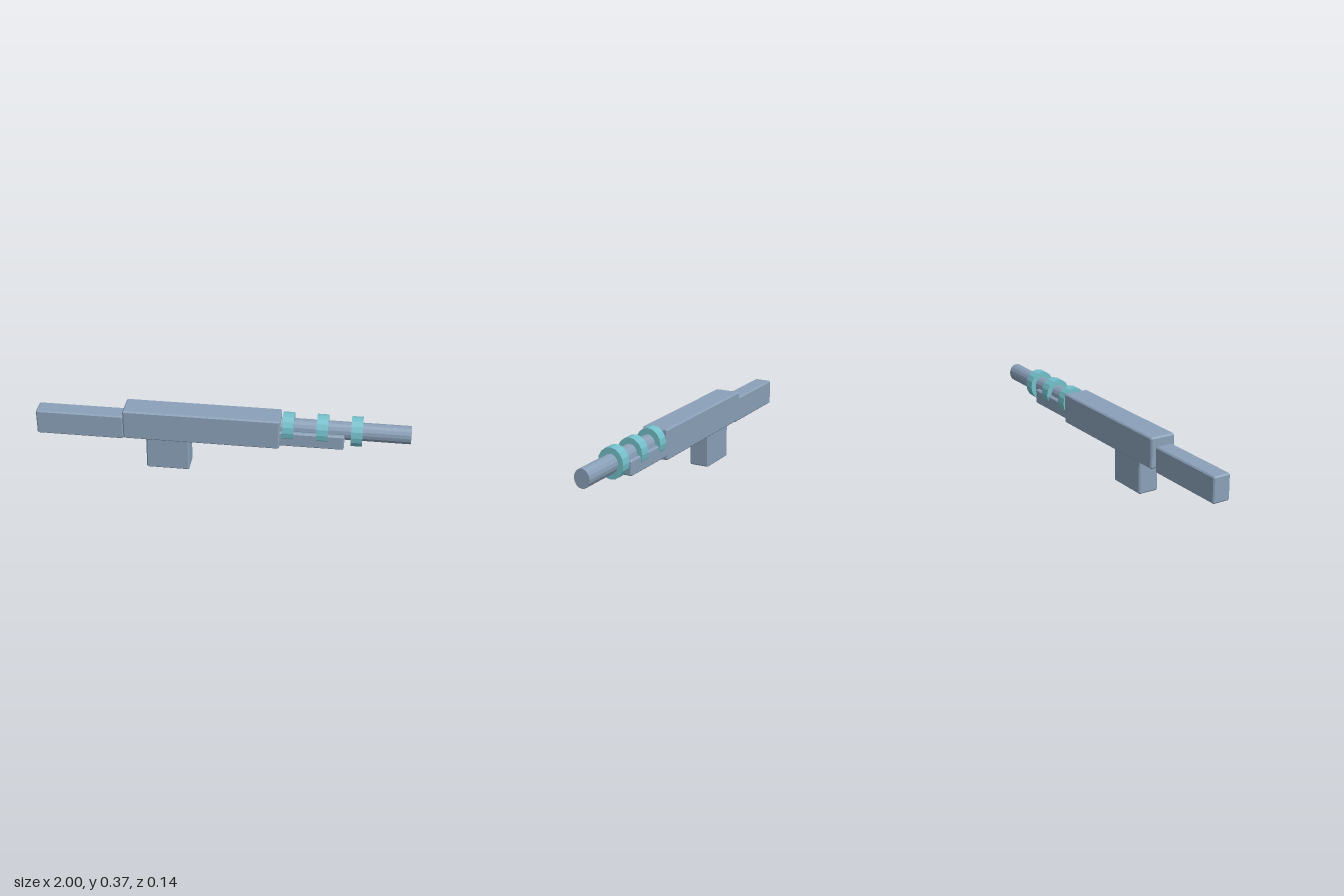
import * as THREE from 'three';
import { ConvexGeometry } from 'three/addons/geometries/ConvexGeometry.js';

const steel = new THREE.MeshStandardMaterial({ name: 'blueGreySteel', color: 0x8aa0b8, flatShading: true });
const teal = new THREE.MeshStandardMaterial({ name: 'tealCoil', color: 0x74bfca, flatShading: true });

// Box with every edge chamfered, spanning x0..x1 and y0..y1, centred on z = 0
function chamferBox(name, x0, x1, y0, y1, halfZ, c = 0.007) {
  const hx = (x1 - x0) / 2, hy = (y1 - y0) / 2, points = [];
  for (const sx of [-1, 1]) for (const sy of [-1, 1]) for (const sz of [-1, 1]) {
    points.push(
      new THREE.Vector3(sx * hx, sy * (hy - c), sz * (halfZ - c)),
      new THREE.Vector3(sx * (hx - c), sy * hy, sz * (halfZ - c)),
      new THREE.Vector3(sx * (hx - c), sy * (hy - c), sz * halfZ));
  }
  const mesh = new THREE.Mesh(new ConvexGeometry(points), steel);
  mesh.name = name;
  mesh.position.set((x0 + x1) / 2, (y0 + y1) / 2, 0);
  return mesh;
}

// Slightly oval cylinder lying along x
function rod(name, x0, x1, ry, rz, material) {
  const geometry = new THREE.CylinderGeometry(1, 1, x1 - x0, 16);
  geometry.rotateZ(-Math.PI / 2);
  geometry.scale(1, ry, rz);
  const mesh = new THREE.Mesh(geometry, material);
  mesh.name = name;
  mesh.position.set((x0 + x1) / 2, 0.283, 0);
  return mesh;
}

export function createModel() {
  const model = new THREE.Group();
  model.name = 'coilBlaster';

  // Body blocks
  model.add(
    chamferBox('stock', -1, -0.525, 0.163, 0.302, 0.049),
    chamferBox('receiver', -0.521, 0.316, 0.182, 0.348, 0.0715),
    chamferBox('grip', -0.4, -0.167, 0, 0.2, 0.0575),
    chamferBox('foreEnd', 0.3, 0.655, 0.198, 0.28, 0.063));

  // Barrel and its three coils
  model.add(rod('barrel', 0.3, 1, 0.05, 0.043, steel));
  for (let i = 0; i < 3; i++) {
    const x = 0.358 + i * 0.18;
    model.add(rod('coil' + (i + 1), x - 0.03, x + 0.03, 0.082, 0.0715, teal));
  }
  return model;
}
